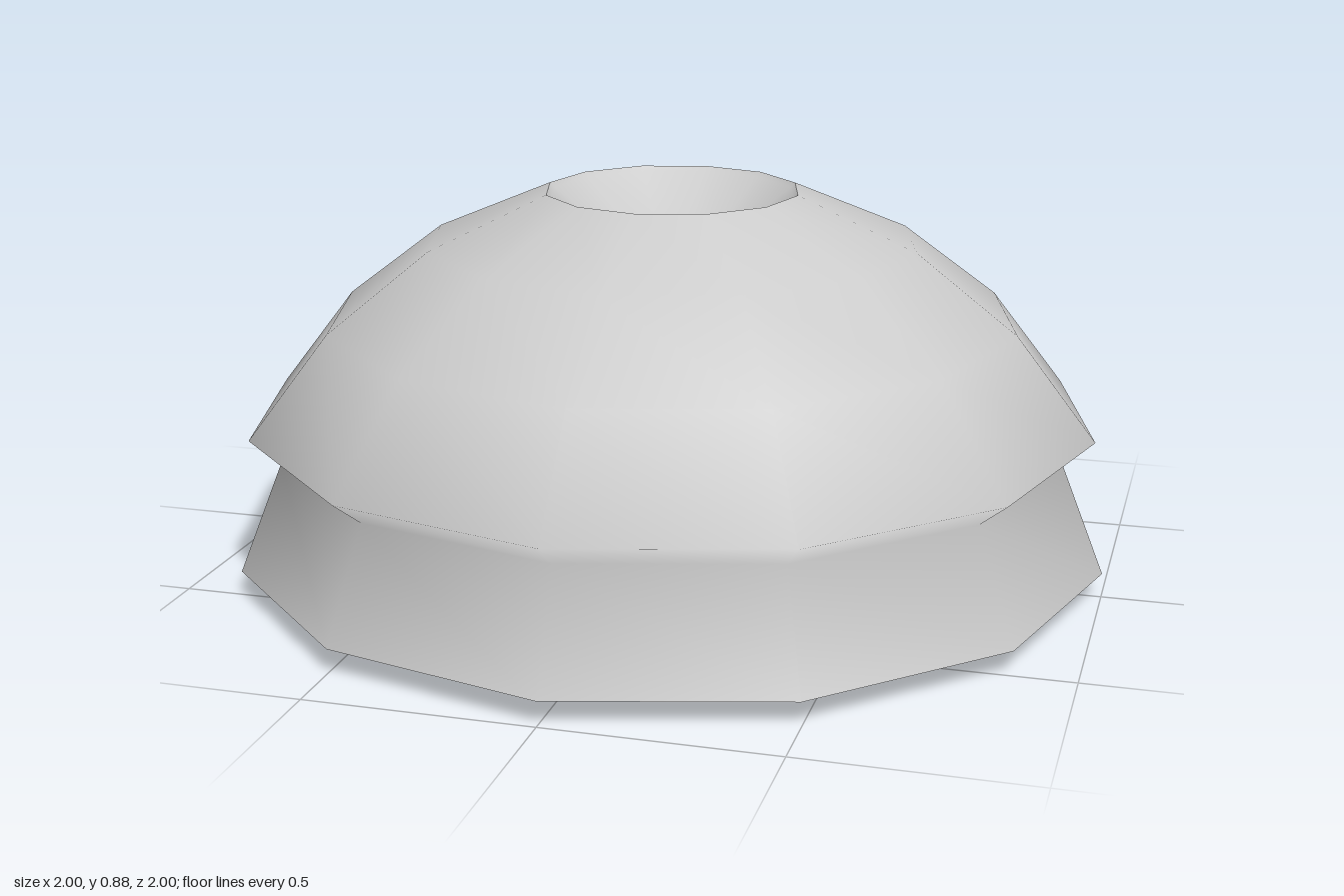
import * as THREE from 'three';

const SIDES = 12;

// Smooth twelve-sided surface of revolution; profile runs from bottom to top.
function turned(name, profile) {
  const points = profile.map(([r, y]) => new THREE.Vector2(r, y));
  const mesh = new THREE.Mesh(
    new THREE.LatheGeometry(points, SIDES),
    new THREE.MeshStandardMaterial({ color: 0xcccccc, side: THREE.DoubleSide })
  );
  mesh.name = name;
  return mesh;
}

export function createModel() {
  const group = new THREE.Group();
  group.name = 'domedButton';

  // Base plate, its short wall and the hollow underside of the skirt
  group.add(turned('base', [[0, 0], [0.81, 0], [0.81, 0.12], [1, 0.055]]));

  // Flared skirt, pinched under the overhanging edge of the dome
  group.add(turned('skirtAndDome', [
    [1, 0.055], [0.9, 0.305], [0.97, 0.36], [0.79, 0.59], [0.56, 0.765], [0.29, 0.88],
  ]));

  // Shallow bowl sunk into the top, with a narrow rim
  group.add(turned('topBowl', [[0.29, 0.88], [0.28, 0.87], [0.16, 0.78], [0, 0.74]]));

  return group;
}
